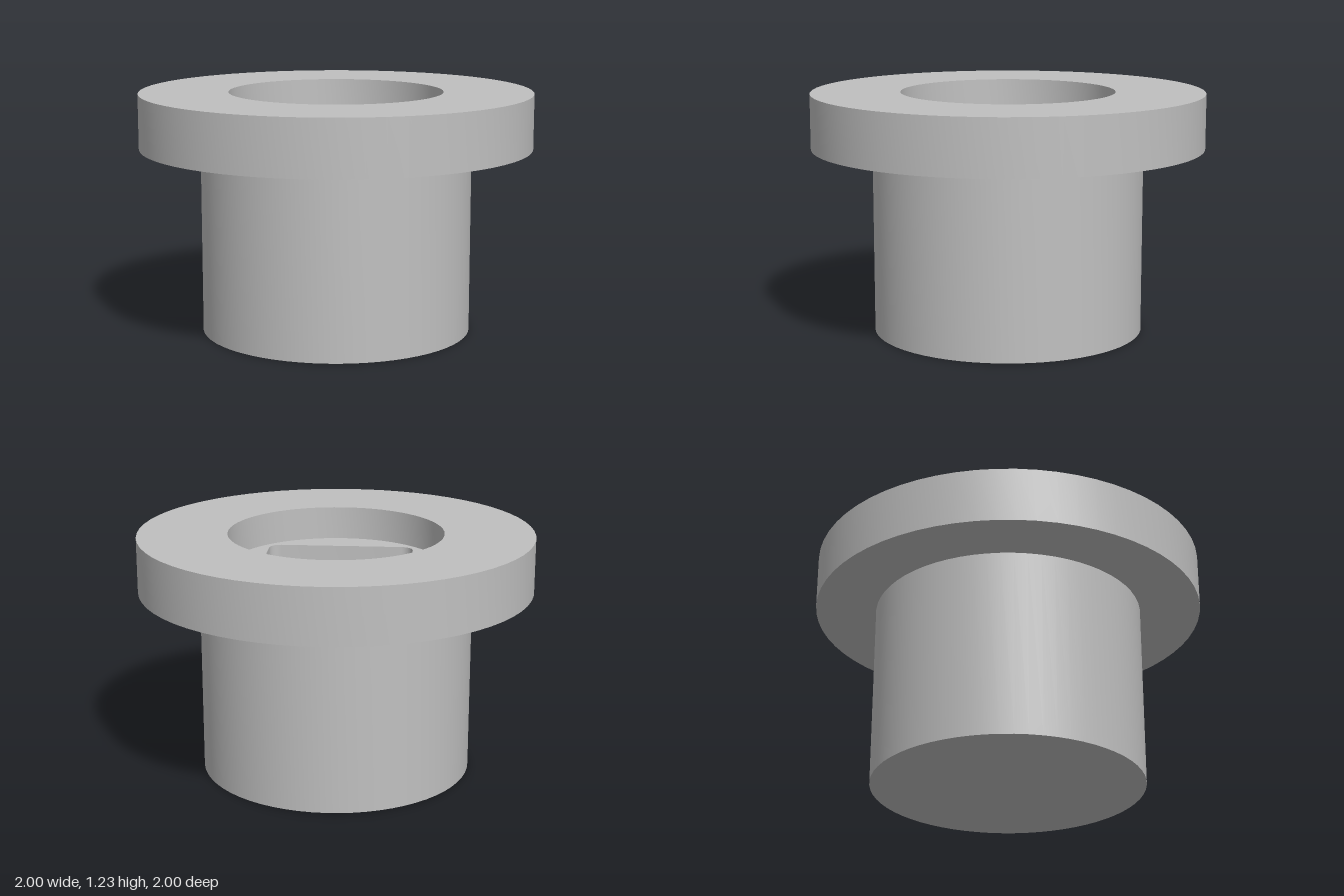
import * as THREE from 'three';
import { toCreasedNormals } from 'three/addons/utils/BufferGeometryUtils.js';

const SEGMENTS = 64;
const LEDGE_Y = 1.06, FLOOR_Y = 0.28; // recess ledge and pocket floor heights
const RECESS_R = 0.545;

// Points of a rounded square, counter-clockwise
function roundedSquare(half, radius, steps = 6) {
  const points = [];
  for (let corner = 0; corner < 4; corner++) {
    const mid = Math.PI / 4 + corner * Math.PI / 2;
    const cx = Math.sign(Math.cos(mid)) * (half - radius);
    const cy = Math.sign(Math.sin(mid)) * (half - radius);
    for (let i = 0; i <= steps; i++) {
      const a = (corner + i / steps) * Math.PI / 2;
      points.push(new THREE.Vector2(cx + radius * Math.cos(a), cy + radius * Math.sin(a)));
    }
  }
  return points;
}

// Flat upward-facing surface at a given height
function flatFace(shape, y) {
  return new THREE.ShapeGeometry(shape).rotateX(-Math.PI / 2).translate(0, y, 0);
}

// Vertical walls facing the inside of an outline
function innerWalls(outline, bottom, top) {
  const positions = [], index = [], n = outline.length;
  outline.forEach((p, i) => {
    positions.push(p.x, bottom, -p.y, p.x, top, -p.y);
    const a = 2 * i, b = 2 * ((i + 1) % n);
    index.push(a, a + 1, b + 1, a, b + 1, b);
  });
  const geometry = new THREE.BufferGeometry();
  geometry.setAttribute('position', new THREE.Float32BufferAttribute(positions, 3));
  geometry.setIndex(index);
  geometry.computeVertexNormals();
  return toCreasedNormals(geometry, 0.5);
}

export function createModel() {
  const model = new THREE.Group();
  model.name = 'flangedPlug';
  const metal = new THREE.MeshStandardMaterial({ color: 0xc0c0c0 });
  metal.name = 'plain grey';

  const add = (name, geometry) => {
    const mesh = new THREE.Mesh(geometry, metal);
    mesh.name = name;
    model.add(mesh);
  };

  // Body, flange and round recess wall in one turned profile
  const profile = [
    [0, 0], [0.69, 0], [0.69, 0.95], [1, 0.95],
    [1, 1.23], [RECESS_R, 1.23], [RECESS_R, LEDGE_Y],
  ].map(([r, y]) => new THREE.Vector2(r, y));
  add('flangedBody', toCreasedNormals(new THREE.LatheGeometry(profile, SEGMENTS), 0.5));

  // Recess ledge with the square opening
  const square = roundedSquare(0.378, 0.06);
  const circle = [];
  for (let i = 0; i < SEGMENTS; i++) {
    const a = i / SEGMENTS * Math.PI * 2;
    circle.push(new THREE.Vector2(RECESS_R * Math.cos(a), RECESS_R * Math.sin(a)));
  }
  const ledge = new THREE.Shape(circle);
  ledge.holes.push(new THREE.Path(square));
  add('recessLedge', flatFace(ledge, LEDGE_Y));

  // Square drive pocket
  add('pocketWalls', innerWalls(square, FLOOR_Y, LEDGE_Y));
  add('pocketFloor', flatFace(new THREE.Shape(square), FLOOR_Y));

  return model;
}
